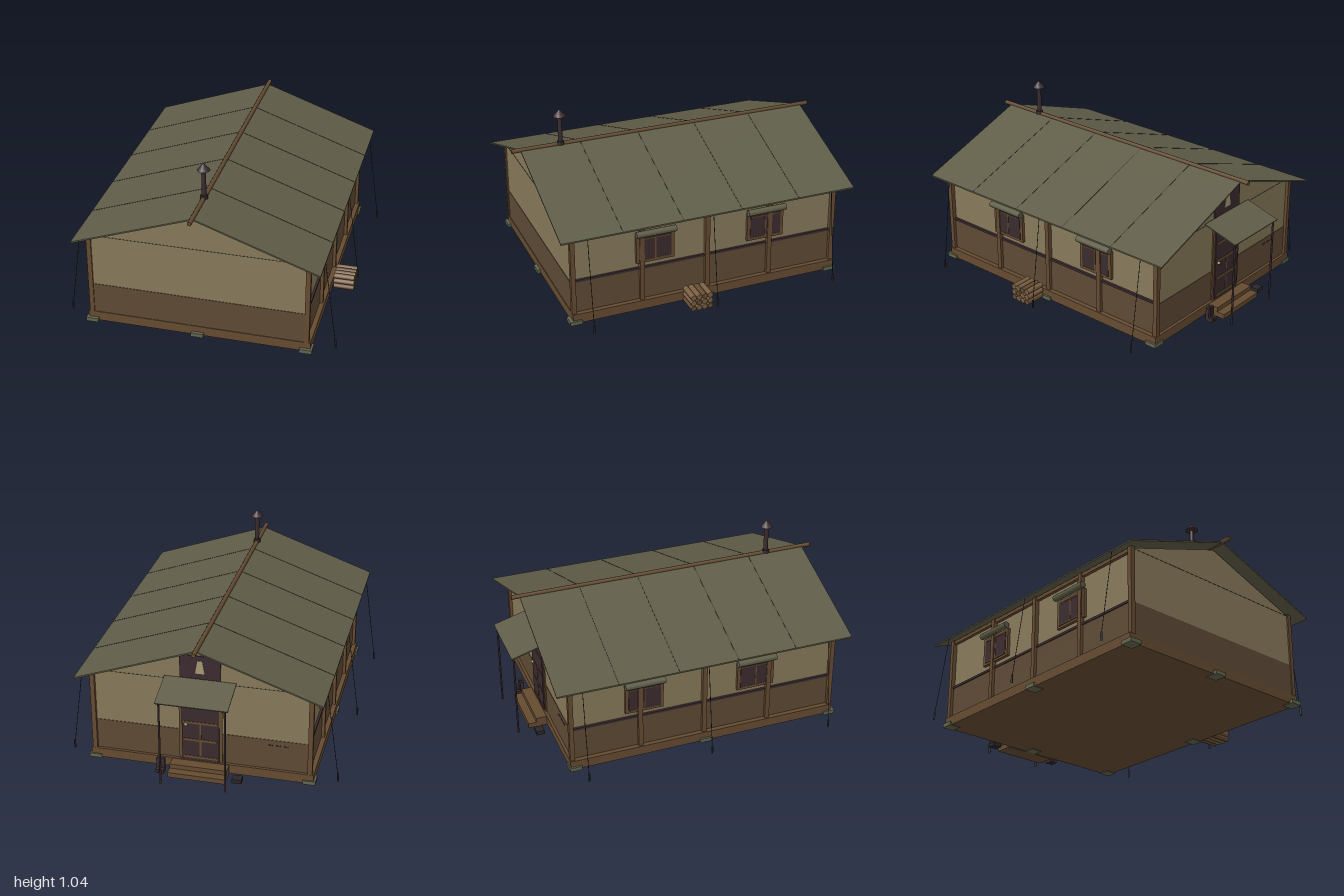
import * as THREE from 'three';

const mat = (name, color, side = THREE.FrontSide) => {
  const m = new THREE.MeshStandardMaterial({ color, side });
  m.name = name;
  return m;
};

export function createModel() {
  const model = new THREE.Group();
  const canvas = mat('tan canvas', 0x87795a);
  const skirtBrown = mat('brown skirt', 0x5e4a35);
  const wood = mat('timber', 0x654b31);
  const roofGreen = mat('olive roof canvas', 0x5f5d48);
  const seamDark = mat('dark seam', 0x3f3e31);
  const dark = mat('dark wood', 0x3b2b2f);
  const stone = mat('stone', 0x62654f);
  const iron = mat('iron', 0x2a2628);
  const bark = mat('log', 0x7a5f42);
  const cream = mat('pale lamp', 0xa89a74);

  const add = (name, geo, material, x = 0, y = 0, z = 0, parent = model) => {
    const m = new THREE.Mesh(geo, material);
    m.name = name;
    m.position.set(x, y, z);
    parent.add(m);
    return m;
  };
  // Box given by its limits on each axis
  const box = (name, material, [x0, x1], [y0, y1], [z0, z1]) =>
    add(name, new THREE.BoxGeometry(Math.abs(x1 - x0), y1 - y0, Math.abs(z1 - z0)), material,
      (x0 + x1) / 2, (y0 + y1) / 2, (z0 + z1) / 2);
  // Round bar between two points
  const bar = (name, material, a, b, r, sides = 8) => {
    const p = new THREE.Vector3(...a), q = new THREE.Vector3(...b), d = q.clone().sub(p);
    const m = add(name, new THREE.CylinderGeometry(r, r, d.length(), sides), material);
    m.position.copy(p).add(q).multiplyScalar(0.5);
    m.quaternion.setFromUnitVectors(new THREE.Vector3(0, 1, 0), d.normalize());
    return m;
  };
  // Flat outline in x,y pushed along z
  const prism = (name, material, pts, z0, z1) => add(name,
    new THREE.ExtrudeGeometry(new THREE.Shape(pts.map(p => new THREE.Vector2(...p))),
      { depth: z1 - z0, bevelEnabled: false }), material, 0, 0, z0);

  const back = -0.78, front = 0.865;
  const postZ = [0.86, 0.443, 0.035, -0.365, -0.785];

  // Floor, foundation stones and canvas body
  box('floorPlatform', wood, [-0.665, 0.665], [0.004, 0.062], [-0.8, 0.872]);
  for (const x of [-0.64, 0, 0.64]) for (const z of [-0.77, 0.04, 0.855]) {
    if (x === 0 && z === 0.04) continue;
    box('foundationStone', stone, [x - 0.037, x + 0.037], [0, 0.024], [z - 0.037, z + 0.037]);
  }
  prism('canvasBody', canvas,
    [[-0.63, 0.06], [0.63, 0.06], [0.63, 0.58], [0, 0.802], [-0.63, 0.58]], back, front);
  box('lowerSkirt', skirtBrown, [-0.633, 0.633], [0.06, 0.253], [back - 0.003, front + 0.003]);
  for (const z of [back, front])
    box('gableSeam', seamDark, [-0.63, 0.63], [0.577, 0.58], [z - 0.0015, z + 0.0015]);

  // Roof sheets with seams
  const roofY = x => 0.822 - Math.abs(x) * 0.355;
  for (const s of [-1, 1]) {
    const strip = (lift, t) => {
      const pts = [[0, roofY(0) + lift], [s * 0.722, roofY(0.722) + lift],
        [s * 0.722, roofY(0.722) + lift - t], [0, roofY(0) + lift - t]];
      return s > 0 ? pts.reverse() : pts;
    };
    prism('roofSheet', roofGreen, strip(0.002, 0.009), -0.88, 0.945);
    for (const z of [0.58, 0.215, -0.15, -0.515])
      prism('roofSeam', seamDark, strip(0.0035, 0.003), z - 0.002, z + 0.002);
  }
  bar('ridgePole', wood, [0, 0.823, -0.93], [0, 0.823, 1], 0.013, 10);

  // Stove pipe with a cone cap
  bar('stovePipe', dark, [0, 0.8, 0.7], [0, 0.995, 0.7], 0.014, 12);
  add('pipeCap', new THREE.ConeGeometry(0.038, 0.043, 12), dark, 0, 1.022, 0.7);
  add('pipeCollar', new THREE.CylinderGeometry(0.02, 0.024, 0.02, 12), iron, 0, 0.832, 0.7);

  // Side walls: posts, rails, windows, guy ropes
  for (const s of [-1, 1]) {
    const X = (a, b) => [s * a, s * b];
    for (const z of postZ)
      box('wallPost', wood, X(0.628, 0.656), [0.06, 0.585], [z - 0.014, z + 0.014]);
    box('eaveBeam', wood, X(0.628, 0.648), [0.56, 0.582], [-0.785, 0.86]);
    box('darkRail', dark, X(0.628, 0.643), [0.258, 0.272], [-0.785, 0.86]);
    box('sidePanel', skirtBrown, X(0.628, 0.637), [0.06, 0.258], [-0.785, 0.86]);
    for (const z of [0.36, -0.338]) {
      box('windowFrame', wood, X(0.628, 0.648), [0.302, 0.48], [z - 0.117, z + 0.117]);
      box('windowPane', dark, X(0.646, 0.651), [0.315, 0.462], [z - 0.098, z + 0.098]);
      box('windowMullion', wood, X(0.646, 0.653), [0.315, 0.462], [z - 0.004, z + 0.004]);
      for (const y of [0.32, 0.456])
        box('windowRail', wood, X(0.646, 0.653), [y - 0.003, y + 0.003], [z - 0.09, z + 0.09]);
      bar('rolledBlind', roofGreen, [s * 0.663, 0.495, z - 0.122], [s * 0.663, 0.495, z + 0.122], 0.019, 12);
    }
    for (const z of [0.79, 0.03, -0.73]) {
      bar('guyRope', iron, [s * 0.72, 0.565, z], [s * 0.793, 0.045, z], 0.002, 5);
      bar('guyStake', iron, [s * 0.795, 0, z], [s * 0.795, 0.05, z], 0.006, 6);
    }
  }

  // Stack of firewood
  for (let row = 0; row < 3; row++) for (let col = 0; col < 4; col++) {
    const y = 0.018 + row * 0.035, z = 0.077 + col * 0.035;
    bar('firewoodLog', (row + col) % 3 ? bark : wood, [0.672, y, z], [0.798, y, z], 0.017, 10);
  }

  // Back door with rails, knob and gable panel
  const bz = back - 0.003;
  box('doorFrame', wood, [-0.128, 0.128], [0.06, 0.56], [bz - 0.008, bz]);
  box('door', dark, [-0.11, 0.11], [0.062, 0.545], [bz - 0.015, bz]);
  for (const y of [0.085, 0.2, 0.315, 0.43])
    box('doorRail', wood, [-0.1, 0.1], [y - 0.007, y + 0.007], [bz - 0.018, bz]);
  box('doorStile', wood, [-0.005, 0.005], [0.085, 0.315], [bz - 0.017, bz]);
  add('doorKnob', new THREE.SphereGeometry(0.01, 10, 8), cream, 0.085, 0.3, bz - 0.02);
  box('gablePanel', dark, [-0.12, 0.12], [0.6, 0.745], [bz - 0.006, bz]);
  prism('gableVent', cream, [[-0.028, 0.635], [0.028, 0.635], [0.014, 0.715], [-0.014, 0.715]],
    bz - 0.009, bz - 0.004);
  for (const x of [-0.5, -0.455, -0.41])
    box('skirtVent', dark, [x - 0.014, x + 0.014], [0.215, 0.222], [bz - 0.003, bz]);

  // Porch canopy on two poles
  const canopy = add('porchCanopy', new THREE.BoxGeometry(0.42, 0.007, 0.222), roofGreen, 0, 0.564, -0.893);
  canopy.rotation.x = -Math.atan2(0.062, 0.212);
  for (const x of [-0.19, 0.19])
    bar('canopyPole', dark, [x, 0, -0.984], [x, 0.535, -0.984], 0.006, 8);

  // Hanging lamp
  bar('lampBracket', iron, [0, 0.532, -0.785], [0, 0.532, -0.838], 0.005, 6);
  add('lampShade', new THREE.ConeGeometry(0.024, 0.02, 12), iron, 0, 0.522, -0.838);
  add('lampGlass', new THREE.CylinderGeometry(0.012, 0.012, 0.025, 10), cream, 0, 0.506, -0.838);

  // Steps, boot scraper and boots
  box('upperStep', wood, [-0.17, 0.17], [0.03, 0.058], [-0.865, -0.8]);
  box('lowerStep', wood, [-0.17, 0.17], [0, 0.03], [-0.914, -0.8]);
  box('bootScraper', iron, [-0.262, -0.205], [0, 0.025], [-0.89, -0.84]);
  for (const x of [0.21, 0.24]) {
    box('bootShaft', dark, [x - 0.01, x + 0.01], [0, 0.085], [-0.862, -0.84]);
    box('bootFoot', dark, [x - 0.01, x + 0.01], [0, 0.025], [-0.888, -0.84]);
  }
  return model;
}
